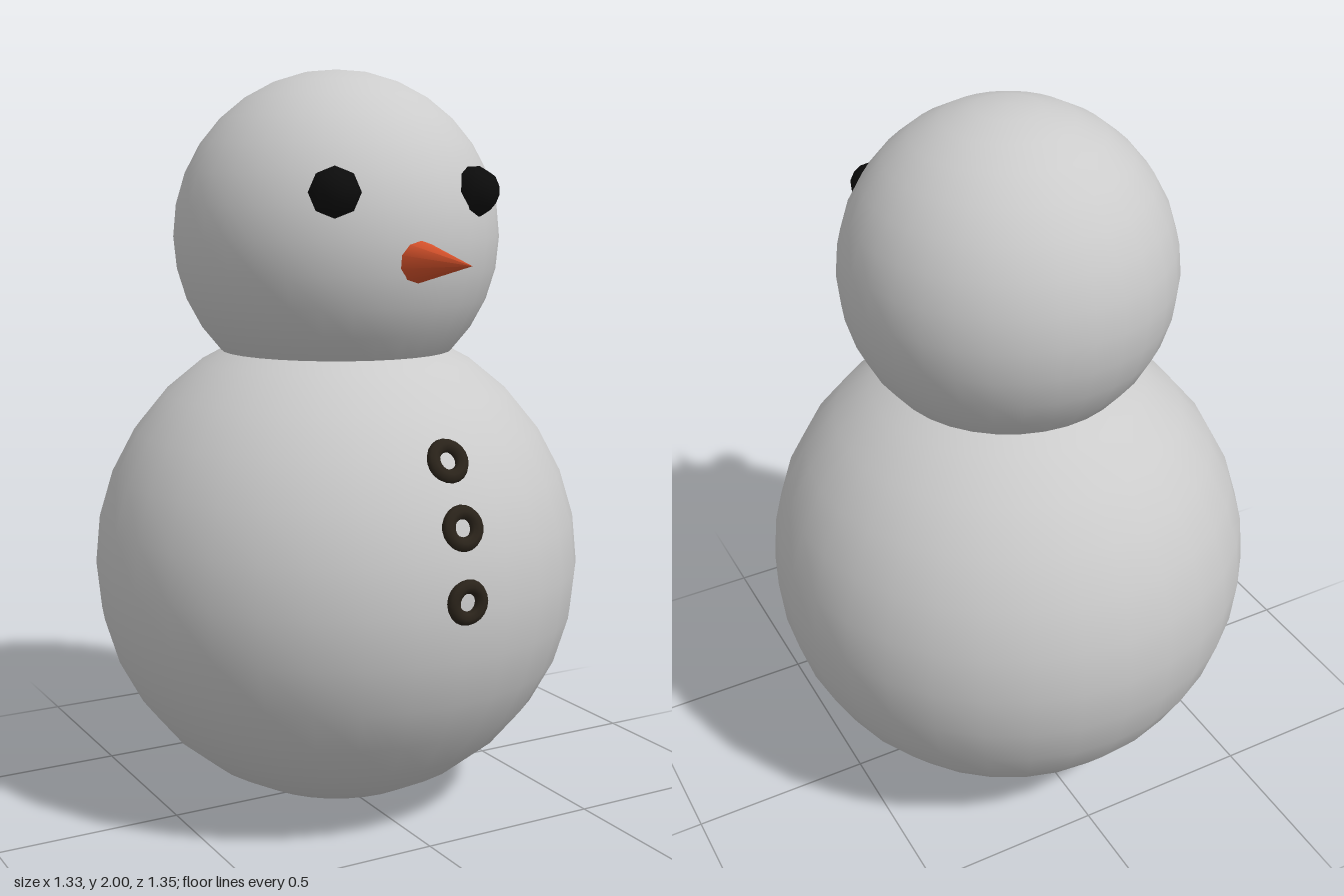
import * as THREE from 'three';

const material = (color) => new THREE.MeshStandardMaterial({ color });

export function createModel() {
  const model = new THREE.Group();
  model.name = 'snowman';
  const snow = material(0xcccccc);
  const coal = material(0x0c0c0c);
  const carrot = material(0xd9532c);
  const buttonMaterial = material(0x2a231a);
  const zCentre = -0.008;

  const add = (name, geometry, mat, x, y, z) => {
    const mesh = new THREE.Mesh(geometry, mat);
    mesh.name = name;
    mesh.position.set(x, y, z);
    model.add(mesh);
    return mesh;
  };

  // Two stacked snowballs
  add('body', new THREE.SphereGeometry(0.667, 32, 16), snow, 0, 0.669, zCentre);
  const head = add('head', new THREE.SphereGeometry(0.44, 32, 16), snow, 0, 1.56, zCentre);

  // Coal eyes, pole turned outward from the head
  const eyeGeometry = new THREE.SphereGeometry(0.066, 8, 6).rotateX(Math.PI / 2);
  for (const side of [1, -1]) {
    const eye = add(side > 0 ? 'leftEye' : 'rightEye', eyeGeometry, coal, side * 0.203, 1.68, 0.357);
    const outward = eye.position.clone().sub(head.position).normalize();
    eye.lookAt(eye.position.clone().add(outward));
  }

  // Carrot nose, its base sunk into the head
  const noseGeometry = new THREE.ConeGeometry(0.061, 0.27, 10).rotateX(Math.PI / 2);
  add('nose', noseGeometry, carrot, 0, 1.51, 0.525);

  // Ring buttons, each tilted to follow the belly
  const buttonGeometry = new THREE.TorusGeometry(0.04, 0.018, 8, 20).scale(1, 1, 0.85);
  const buttons = [
    ['topButton', 1.03, 0.563, 0.47],
    ['middleButton', 0.875, 0.634, 0.27],
    ['bottomButton', 0.695, 0.66, 0.02],
  ];
  for (const [name, y, z, tilt] of buttons) {
    add(name, buttonGeometry, buttonMaterial, 0, y, z).rotation.x = -tilt;
  }

  return model;
}
